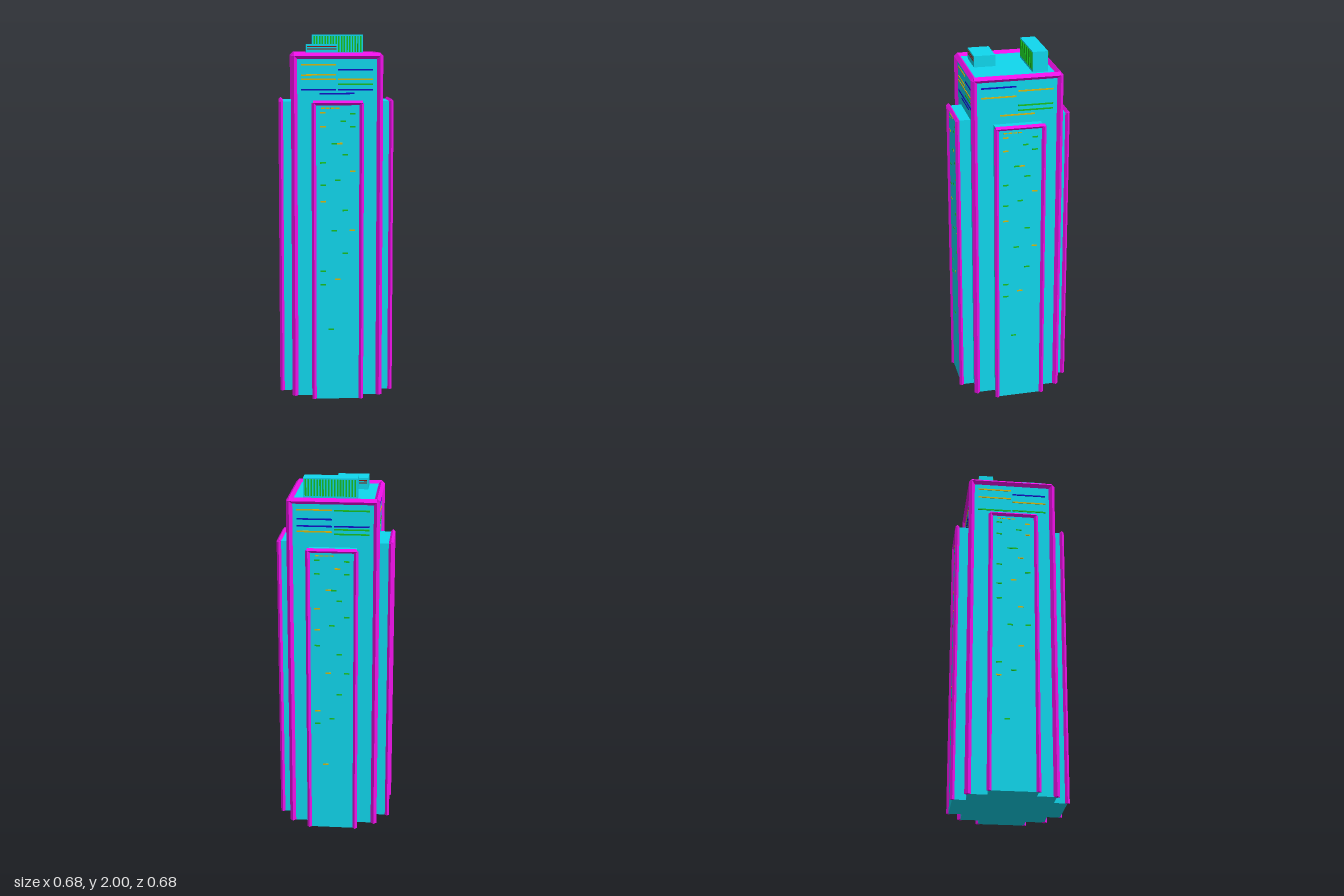
import * as THREE from 'three';

const mat = (color) => new THREE.MeshStandardMaterial({ color, flatShading: true });

export function createModel() {
  const wall = mat(0x10d8ee), trim = mat(0xee10e8), red = mat(0x8a1a10);
  const lights = { y: mat(0xd8b810), g: mat(0x18c020), b: mat(0x1010c8) };

  const model = new THREE.Group();
  model.name = 'tower';
  // everything is laid out square, then turned so a corner faces the front
  const body = new THREE.Group();
  body.name = 'towerBody';
  body.rotation.y = Math.PI / 4;
  model.add(body);

  const box = (parent, name, m, w, h, d, x, y, z) => {
    const mesh = new THREE.Mesh(new THREE.BoxGeometry(w, h, d), m);
    mesh.name = name;
    mesh.position.set(x, y, z);
    parent.add(mesh);
    return mesh;
  };
  // four-sided bar with a diamond section, upright or lying along x
  const bar = (parent, name, r, length, x, y, z, lying = false) => {
    const mesh = new THREE.Mesh(new THREE.CylinderGeometry(r, r, length, 4), trim);
    mesh.name = name;
    if (lying) mesh.rotation.z = Math.PI / 2;
    mesh.position.set(x, y, z);
    parent.add(mesh);
  };

  const HALF = 0.233, ROOF = 1.888, R = 0.017;
  const WING_HALF = 0.129, WING_FACE = 0.305, WING_TOP = 1.638, WR = 0.0125;

  box(body, 'shaft', wall, 2 * HALF, ROOF, 2 * HALF, 0, ROOF / 2, 0);

  // light strips near the top of each side: [column, height, colour]
  const strips = [
    [[-1, 1.84, 'b'], [1, 1.815, 'y'], [-1, 1.787, 'y'], [1, 1.735, 'g'], [1, 1.708, 'g'], [0, 1.685, 'y']],
    [[-1, 1.84, 'y'], [1, 1.838, 'g'], [-1, 1.79, 'b'], [-1, 1.752, 'b'], [1, 1.752, 'b'], [-1, 1.722, 'y'], [1, 1.735, 'g'], [1, 1.71, 'g']],
    [[-1, 1.84, 'y'], [1, 1.815, 'b'], [-1, 1.787, 'y'], [1, 1.765, 'y'], [-1, 1.705, 'g'], [1, 1.708, 'g'], [0, 1.685, 'y']],
    [[-1, 1.84, 'y'], [1, 1.813, 'b'], [-1, 1.785, 'y'], [-1, 1.762, 'y'], [1, 1.762, 'y'], [-1, 1.706, 'b'], [1, 1.735, 'g'], [1, 1.706, 'b'], [0, 1.685, 'b']],
  ];
  // small lit windows on each wing: [across, height]
  const windows = [
    [-0.08, 1.585], [0.08, 1.58], [0.03, 1.54], [-0.08, 1.51], [0.08, 1.51], [-0.02, 1.42],
    [0.01, 1.42], [0.04, 1.36], [-0.08, 1.315], [0.08, 1.27], [0, 1.22], [-0.08, 1.195],
    [-0.08, 1.105], [0.04, 1.055], [-0.02, 0.945], [0.08, 0.945], [0.04, 0.82],
    [-0.08, 0.72], [0, 0.675], [-0.08, 0.645], [-0.035, 0.395],
  ];

  for (let k = 0; k < 4; k++) {
    const side = new THREE.Group();
    side.name = 'side' + (k + 1);
    side.rotation.y = k * Math.PI / 2;
    body.add(side);

    // corner post and roof edge
    bar(side, 'cornerPost', R, ROOF, HALF, ROOF / 2, HALF);
    bar(side, 'roofEdge', R, 2 * HALF, 0, ROOF, HALF, true);

    // projecting wing with its frame
    const depth = WING_FACE - HALF;
    box(side, 'wing', wall, 2 * WING_HALF, WING_TOP, depth, 0, WING_TOP / 2, HALF + depth / 2);
    for (const s of [-1, 1])
      bar(side, 'wingPost', WR, WING_TOP, s * WING_HALF, WING_TOP / 2, WING_FACE);
    bar(side, 'wingTopEdge', WR, 2 * WING_HALF + 0.01, 0, WING_TOP, WING_FACE, true);

    for (const [col, y, c] of strips[k])
      box(side, 'lightStrip', lights[c], 0.19, 0.008, 0.006, col * 0.1, y, HALF);
    windows.forEach(([u, y], i) =>
      box(side, 'window', lights[(i + k) % 3 ? 'g' : 'y'], 0.03, 0.008, 0.004, u, y, WING_FACE));
    for (let i = 0; i < 4; i++)
      box(side, 'window', lights.y, 0.02, 0.006, 0.004, -0.08 + i * 0.026, 1.61, WING_FACE);
  }

  // tall roof house with rows of fins on its long sides
  const tall = new THREE.Group();
  tall.name = 'tallRoofHouse';
  tall.position.set(0.141, ROOF, 0.019);
  body.add(tall);
  box(tall, 'roofHouseWalls', wall, 0.083, 0.112, 0.29, 0, 0.056, 0);
  for (const s of [-1, 1])
    for (let i = 0; i < 18; i++)
      box(tall, 'fin', lights.g, 0.008, 0.09, 0.008, s * 0.0405, 0.06, -0.132 + i * 0.0155);

  // low roof house with vent slats
  const low = new THREE.Group();
  low.name = 'lowRoofHouse';
  low.position.set(-0.127, ROOF, -0.08);
  body.add(low);
  box(low, 'lowHouseWalls', wall, 0.117, 0.062, 0.172, 0, 0.031, 0);
  for (const s of [-1, 1])
    for (const y of [0.035, 0.048])
      box(low, 'ventSlat', red, 0.005, 0.006, 0.16, s * 0.0585, y, 0);

  return model;
}
